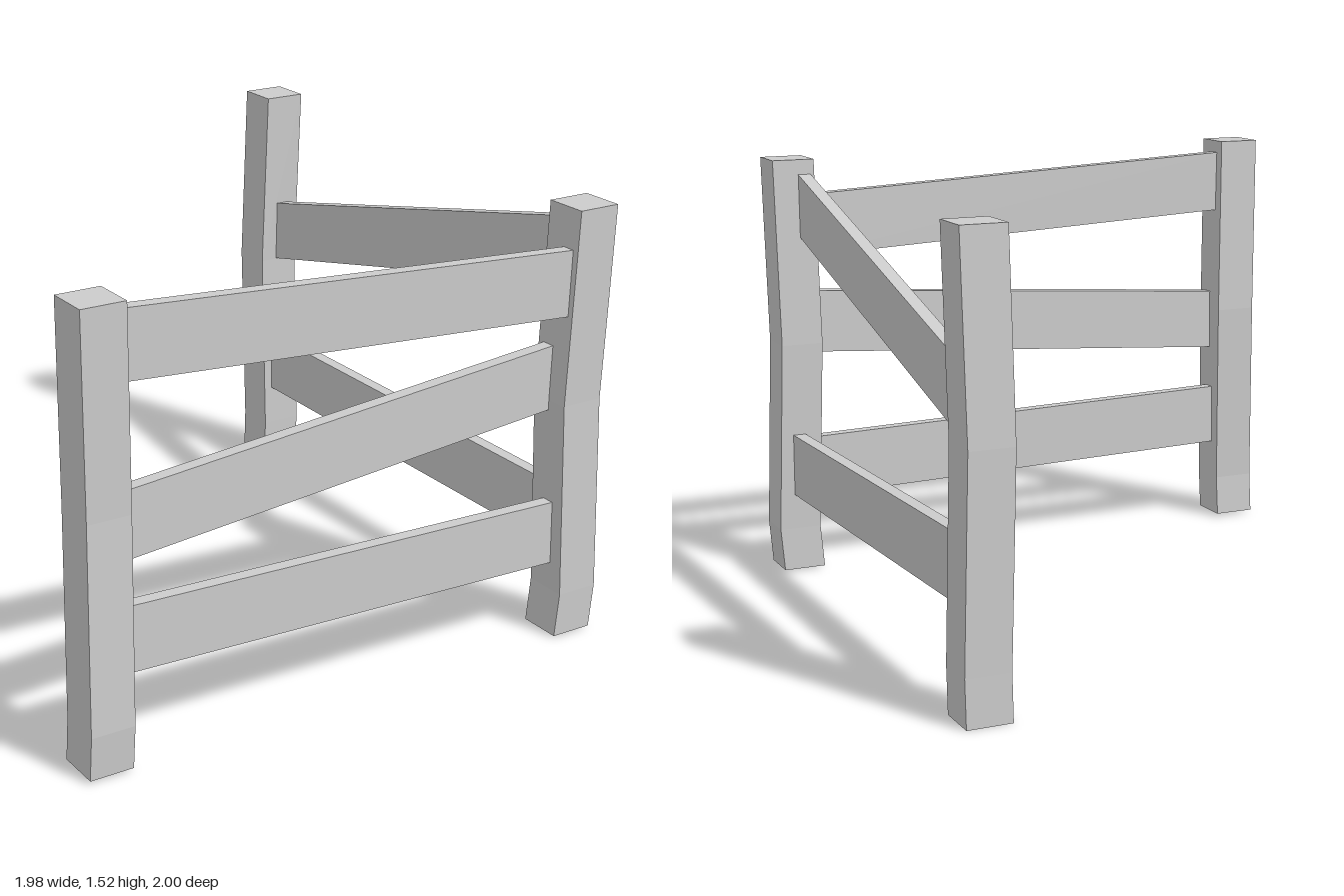
import * as THREE from 'three';

const material = new THREE.MeshStandardMaterial({ color: 0xcccccc, flatShading: true });

function addMesh(group, name, geometry) {
  geometry.computeVertexNormals();
  const mesh = new THREE.Mesh(geometry, material);
  mesh.name = name;
  group.add(mesh);
}

// Crooked square post: each ring is [x, y, z] of its centre, from the ground up
function addPost(group, name, rings, width = 0.152) {
  const geometry = new THREE.BoxGeometry(width, 1, width, 1, rings.length - 1, 1);
  const p = geometry.attributes.position;
  for (let i = 0; i < p.count; i++) {
    const ring = rings[Math.round((p.getY(i) + 0.5) * (rings.length - 1))];
    p.setXYZ(i, p.getX(i) + ring[0], ring[1], p.getZ(i) + ring[2]);
  }
  addMesh(group, name, geometry);
}

// Plank between two end centres, with upright ends let slightly into the posts
function addRail(group, name, from, to, height = 0.226, thickness = 0.046) {
  const a = new THREE.Vector3(...from);
  const b = new THREE.Vector3(...to);
  const alongX = Math.abs(b.x - a.x) > Math.abs(b.z - a.z);
  const geometry = alongX
    ? new THREE.BoxGeometry(1, height, thickness)
    : new THREE.BoxGeometry(thickness, height, 1);
  const p = geometry.attributes.position;
  const point = new THREE.Vector3();
  for (let i = 0; i < p.count; i++) {
    const t = (alongX ? p.getX(i) : p.getZ(i)) + 0.5;
    point.lerpVectors(a, b, t);
    p.setXYZ(i,
      point.x + (alongX ? 0 : p.getX(i)),
      point.y + p.getY(i),
      point.z + (alongX ? p.getZ(i) : 0));
  }
  addMesh(group, name, geometry);
}

export function createModel() {
  const group = new THREE.Group();
  group.name = 'cornerFence';

  // Posts
  addPost(group, 'rightEndPost', [
    [-0.913, 0.01, 0.913], [-0.911, 0.16, 0.922], [-0.9, 0.85, 0.897], [-0.913, 1.516, 0.907]]);
  addPost(group, 'cornerPost', [
    [0.898, 0.005, 0.912], [0.91, 0.16, 0.914], [0.886, 0.85, 0.902], [0.897, 1.52, 0.912]]);
  addPost(group, 'backEndPost', [
    [0.9, 0, -0.908], [0.903, 0.16, -0.908], [0.888, 0.85, -0.922], [0.9, 1.506, -0.91]]);

  // Front rails, right end post to corner post
  addRail(group, 'frontTopRail', [-0.86, 1.359, 0.892], [0.85, 1.269, 0.94]);
  addRail(group, 'frontMiddleRail', [-0.86, 0.8, 0.922], [0.85, 0.929, 0.876]);
  addRail(group, 'frontBottomRail', [-0.86, 0.417, 0.908], [0.85, 0.373, 0.912]);

  // Side rails, back end post to corner post
  addRail(group, 'sideTopRail', [0.9, 0.962, -0.86], [0.856, 1.359, 0.86]);
  addRail(group, 'sideBottomRail', [0.878, 0.423, -0.86], [0.906, 0.401, 0.86]);

  return group;
}
